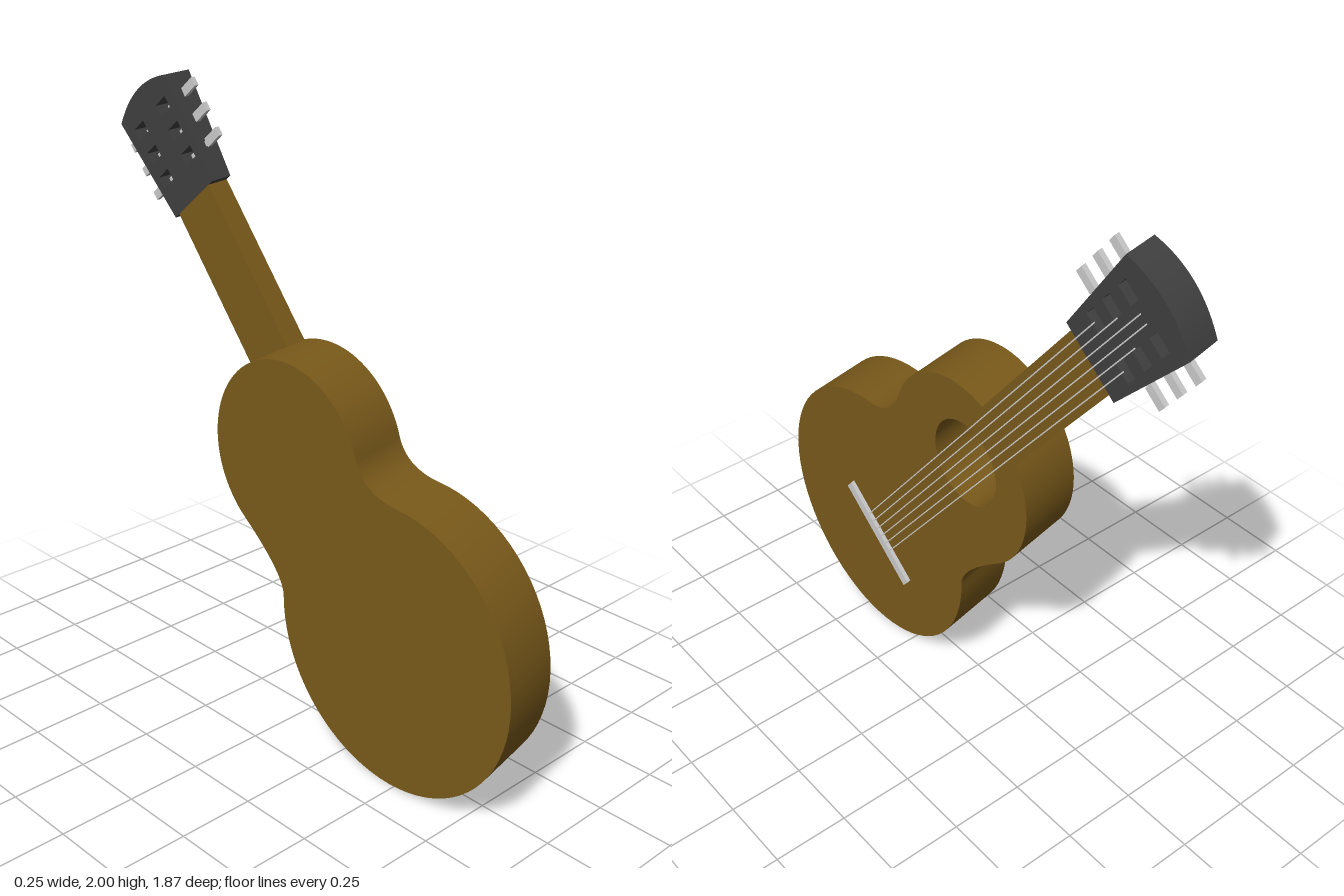
import * as THREE from 'three';
import { toCreasedNormals } from 'three/addons/utils/BufferGeometryUtils.js';

const WOOD = 0x7a5a1a, DARK = 0x404040, GREY = 0xcccccc;

// Guitar frame: p across, q along the neck, d out of the face; origin at the sound hole.
// The instrument leans in the y-z plane and its depth is slightly slanted in z.
const LEAN = new THREE.Matrix4().makeBasis(
  new THREE.Vector3(0, -0.628, -0.778),
  new THREE.Vector3(0, 0.778, -0.628),
  new THREE.Vector3(1, 0, -0.2)
).setPosition(0.105, 0.978, -0.065);

function part(parent, name, geometry, color) {
  geometry.applyMatrix4(LEAN);
  const mesh = new THREE.Mesh(toCreasedNormals(geometry, 0.5), new THREE.MeshStandardMaterial({ color }));
  mesh.name = name;
  parent.add(mesh);
  return mesh;
}

// Box given by its centre and size in the guitar frame
function box(p, q, d, w, l, t) {
  return new THREE.BoxGeometry(w, l, t).translate(p, q, d);
}

function extrude(shape, back, front) {
  return new THREE.ExtrudeGeometry(shape, { depth: front - back, bevelEnabled: false, curveSegments: 28 })
    .translate(0, 0, back);
}

// Two round bouts joined by curved waists
function bodyShape() {
  const s = new THREE.Shape();
  s.absarc(0, -0.055, 0.32, -0.25, Math.PI + 0.376, false);
  s.quadraticCurveTo(-0.266, -0.262, -0.361, -0.348);
  s.absarc(-0.06, -0.705, 0.467, 2.27, 2 * Math.PI + 0.685, false);
  s.quadraticCurveTo(0.257, -0.352, 0.31, -0.134);
  return s;
}

export function createModel() {
  const guitar = new THREE.Group();
  guitar.name = 'guitar';

  // Body with an open sound hole and a closed back
  const front = bodyShape();
  front.holes.push(new THREE.Path().absarc(0, 0, 0.146, 0, Math.PI * 2, true));
  part(guitar, 'body', extrude(front, -0.21, 0), WOOD);
  part(guitar, 'backPlate', extrude(bodyShape(), -0.23, -0.21), WOOD);

  part(guitar, 'neck', box(0, 0.54, -0.045, 0.196, 0.6, 0.09), WOOD);
  part(guitar, 'bridge', box(0, -0.745, 0.007, 0.395, 0.035, 0.016), GREY);

  // Head: flared outline with arched top and six slots
  const rows = [0.945, 1.035, 1.125];
  const head = new THREE.Shape();
  head.moveTo(-0.122, 0.825);
  head.lineTo(0.122, 0.825);
  head.lineTo(0.152, 1.195);
  head.quadraticCurveTo(0, 1.27, -0.15, 1.195);
  head.closePath();
  for (const q of rows) for (const side of [-1, 1]) {
    const p = side * 0.075, w = 0.03, l = 0.02;
    const slot = new THREE.Path();
    slot.moveTo(p - w, q - l);
    slot.lineTo(p - w, q + l);
    slot.lineTo(p + w, q + l);
    slot.lineTo(p + w, q - l);
    slot.closePath();
    head.holes.push(slot);
  }
  const headGeometry = extrude(head, -0.045, 0.045);
  // The head grows thicker toward its end
  const pos = headGeometry.attributes.position;
  for (let i = 0; i < pos.count; i++) {
    const t = (pos.getY(i) - 0.825) / 0.37;
    pos.setZ(i, pos.getZ(i) * (1 + 0.33 * t) - 0.045);
  }
  part(guitar, 'head', headGeometry, DARK);

  // Tuning pegs: a shaft across each slot and a wider grip outside
  for (const q of rows) for (const side of [-1, 1]) {
    part(guitar, 'pegShaft', box(side * 0.095, q, -0.045, 0.11, 0.018, 0.014), GREY);
    part(guitar, 'pegGrip', box(side * 0.175, q, -0.045, 0.07, 0.03, 0.018), GREY);
  }

  // Six strings from the bridge to their slots
  for (let i = 0; i < 6; i++) {
    const end = rows[i < 3 ? i : 5 - i];
    const start = -0.745;
    part(guitar, 'string',
      box((i - 2.5) * 0.029, (start + end) / 2, 0.013, 0.004, end - start, 0.004), GREY);
  }
  return guitar;
}
